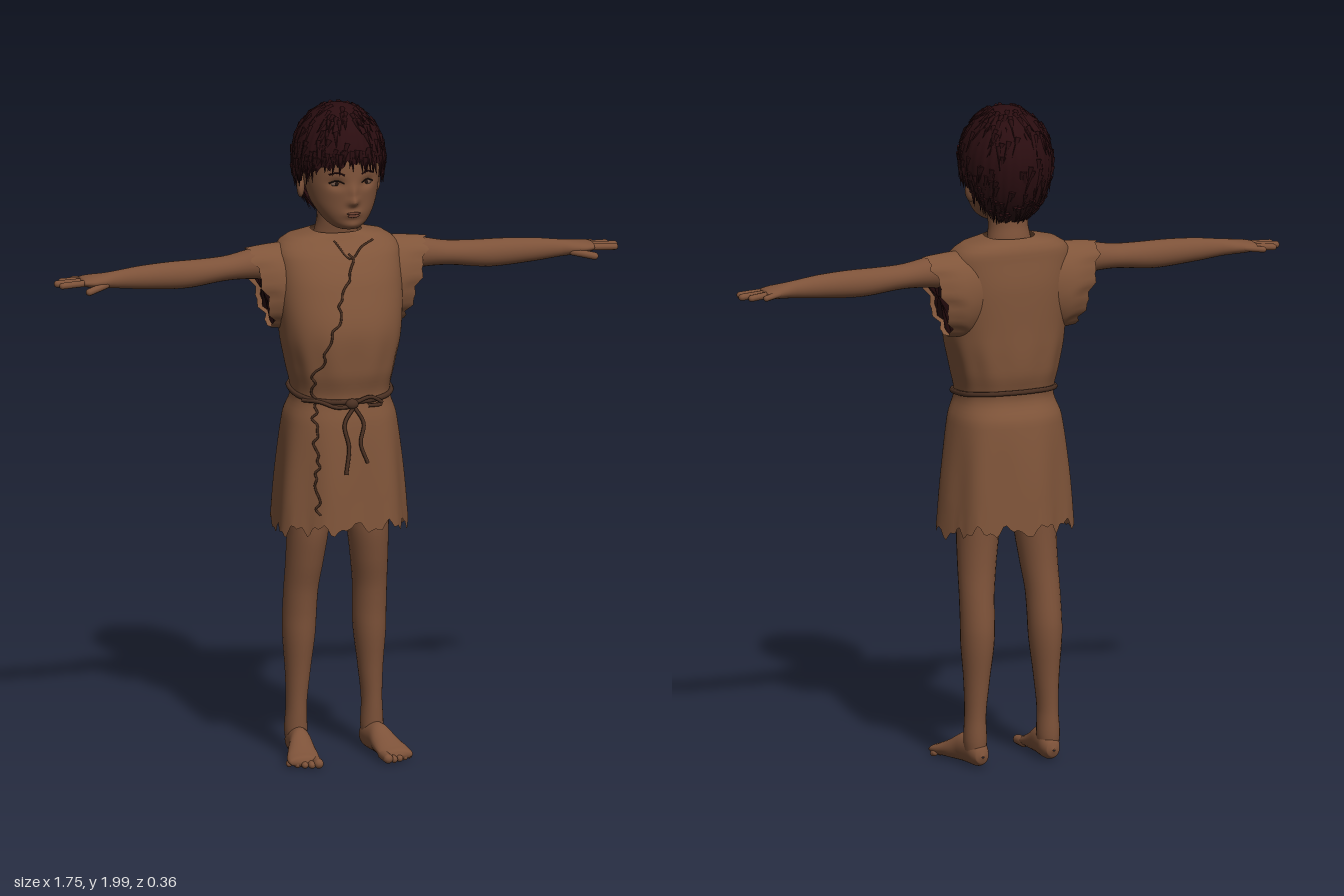
import * as THREE from 'three';
import { mergeGeometries } from 'three/addons/utils/BufferGeometryUtils.js';

const mat = (name, color, side = THREE.FrontSide) => {
  const m = new THREE.MeshStandardMaterial({ color, side });
  m.name = name;
  return m;
};
const skin = mat('skin', 0x7d5239);
const cloth = mat('cloth', 0x80553a, THREE.DoubleSide);
const lining = mat('lining', 0x2c0e11, THREE.DoubleSide);
const hairMat = mat('hair', 0x2a0d10, THREE.DoubleSide);
const rope = mat('rope', 0x4a3022);
const lipMat = mat('lips', 0x6c4030);
const eyeMat = mat('eye', 0x75594a);
const irisMat = mat('iris', 0x21130f);

const V = (x, y, z) => new THREE.Vector3(x, y, z);
const mesh = (name, geo, m) => {
  const o = new THREE.Mesh(geo, m);
  o.name = name;
  return o;
};
let seed = 7;
const rnd = () => (seed = (seed * 16807) % 2147483647) / 2147483647;

// Section = [t, u, v, ru, rv]; monotone cubic sampling along t
function sample(secs, t) {
  const n = secs.length;
  let k = 0;
  while (k < n - 2 && t > secs[k + 1][0]) k++;
  const h = secs[k + 1][0] - secs[k][0];
  const f = THREE.MathUtils.clamp((t - secs[k][0]) / h, 0, 1);
  return [1, 2, 3, 4].map((c) => {
    const slope = (i) => (secs[i + 1][c] - secs[i][c]) / (secs[i + 1][0] - secs[i][0]);
    const tangent = (i) => {
      if (i === 0) return slope(0);
      if (i === n - 1) return slope(n - 2);
      const a = slope(i - 1), b = slope(i);
      return a * b <= 0 ? 0 : (2 * a * b) / (a + b);
    };
    const f2 = f * f, f3 = f2 * f;
    return (2 * f3 - 3 * f2 + 1) * secs[k][c] + (f3 - 2 * f2 + f) * h * tangent(k)
      + (3 * f2 - 2 * f3) * secs[k + 1][c] + (f3 - f2) * h * tangent(k + 1);
  });
}

// Smooth skin over a grid of points; rings close on themselves
function grid(rows, seg, point) {
  const pos = [], idx = [];
  for (let i = 0; i <= rows; i++) {
    for (let j = 0; j < seg; j++) {
      pos.push(...point(i, (j / seg) * Math.PI * 2).toArray());
      if (i === rows) continue;
      const a = i * seg + j, b = i * seg + ((j + 1) % seg);
      idx.push(a, a + seg, b, b, a + seg, b + seg);
    }
  }
  const g = new THREE.BufferGeometry();
  g.setAttribute('position', new THREE.Float32BufferAttribute(pos, 3));
  g.setIndex(idx);
  g.computeVertexNormals();
  return g;
}

// Loft of ellipses along an axis, optionally reshaped by a rule
const place = {
  y: (t, u, v) => V(u, t, v),
  x: (t, u, v) => V(t, v, u),
  z: (t, u, v) => V(v, u, t),
};
function loft(axis, secs, { seg = 24, sub = 5, rule = (p) => p } = {}) {
  return grid((secs.length - 1) * sub, seg, (i, a) => {
    const k = Math.min(Math.floor(i / sub), secs.length - 2);
    const t = THREE.MathUtils.lerp(secs[k][0], secs[k + 1][0], i / sub - k);
    const [u, v, ru, rv] = sample(secs, t);
    return rule(place[axis](t, u + ru * Math.cos(a), v + rv * Math.sin(a)), a);
  });
}

// Primitive laid from point a to point b
function between(geo, a, b) {
  const d = b.clone().sub(a);
  const q = new THREE.Quaternion().setFromUnitVectors(V(0, 1, 0), d.normalize());
  const c = a.clone().add(b).multiplyScalar(0.5);
  return geo.applyMatrix4(new THREE.Matrix4().compose(c, q, V(1, 1, 1)));
}
const digit = (a, b, r) => between(new THREE.CapsuleGeometry(r, a.distanceTo(b), 5, 10), a, b);
const spike = (a, b, r) => between(new THREE.ConeGeometry(r, a.distanceTo(b), 5), a, b);
const cord = (pts, r, closed = false) =>
  new THREE.TubeGeometry(new THREE.CatmullRomCurve3(pts, closed), pts.length * 5, r, 6, closed);
const blob = (p, sx, sy, sz) =>
  new THREE.SphereGeometry(1, 16, 12).scale(sx, sy, sz).translate(p.x, p.y, p.z);

// Tunic surface
const tunicSecs = [
  [0.73, 0, -0.01, 0.2, 0.175], [0.9, 0, -0.01, 0.185, 0.165], [1.05, 0, -0.01, 0.167, 0.15],
  [1.12, 0, -0.003, 0.146, 0.13], [1.2, 0, -0.003, 0.16, 0.147], [1.3, 0, -0.002, 0.18, 0.152],
  [1.45, 0, -0.02, 0.19, 0.135], [1.54, 0, -0.037, 0.19, 0.108], [1.585, 0, -0.05, 0.16, 0.085],
  [1.605, 0, -0.045, 0.075, 0.068]];
const N = 2.4;
const sp = (c) => Math.sign(c) * Math.abs(c) ** (2 / N);
function tunicPoint(a, y, out = 0) {
  const [u, v, ru, rv] = sample(tunicSecs, y);
  const skirt = THREE.MathUtils.smoothstep(1.12 - y, 0, 0.3);
  const blouse = Math.exp(-(((y - 1.22) / 0.08) ** 2));
  const k = 1 + 0.03 * skirt * Math.sin(7 * a + 1) + 0.012 * blouse * Math.sin(11 * a);
  return V(u + (ru * k + out) * sp(Math.cos(a)), y, v + (rv * k + out) * sp(Math.sin(a)));
}
function tunicFront(x, y, out = 0.003) {
  const r = x / sample(tunicSecs, y)[2];
  return tunicPoint(Math.acos(Math.sign(r) * Math.min(1, Math.abs(r)) ** (N / 2)), y, out);
}

// Face relief: [x, y, depth, spread x, spread y]
const headSecs = [
  [1.628, 0, 0.07, 0.002, 0.002], [1.638, 0, 0.065, 0.04, 0.052], [1.67, 0, 0.047, 0.074, 0.085],
  [1.72, 0, 0.02, 0.1, 0.115], [1.78, 0, 0.005, 0.112, 0.132], [1.85, 0, -0.005, 0.117, 0.136],
  [1.9, 0, -0.012, 0.11, 0.122], [1.95, 0, -0.015, 0.08, 0.09], [1.978, 0, -0.015, 0.003, 0.003]];
const relief = [
  [0, 1.724, 0.02, 0.015, 0.013], [0, 1.75, 0.01, 0.011, 0.022], [0, 1.687, 0.008, 0.024, 0.011],
  [0, 1.65, 0.005, 0.025, 0.012], [0.047, 1.778, -0.012, 0.022, 0.014], [-0.047, 1.778, -0.012, 0.022, 0.014]];
const reliefAt = (x, y) => relief.reduce((s, [cx, cy, d, sx, sy]) =>
  s + d * Math.exp(-(((x - cx) / sx) ** 2) - ((y - cy) / sy) ** 2), 0);
function faceFront(x, y, out = 0) {
  const [, v, ru, rv] = sample(headSecs, y);
  return V(x, y, v + rv * Math.sqrt(1 - (x / ru) ** 2) + reliefAt(x, y) + out);
}

// Hair cap surface: v runs 0 at the hairline to 1 at the crown, a = PI/2 is the front
function hairPoint(a, v, grow = 1) {
  const back = Math.acos(THREE.MathUtils.clamp(Math.sin(a), -1, 1)) / Math.PI;
  const line = sample([[0, 1.845, 0, 0, 0], [0.3, 1.815, 0, 0, 0], [0.46, 1.765, 0, 0, 0],
    [0.6, 1.72, 0, 0, 0], [0.72, 1.665, 0, 0, 0], [1, 1.65, 0, 0, 0]], back)[0]
    + 0.008 * Math.sin(23 * a) + 0.005 * Math.sin(41 * a);
  const low = Math.asin((line - 1.83) / (line < 1.83 ? 0.2 : 0.162));
  const e = THREE.MathUtils.lerp(low, Math.PI / 2, v);
  const r = grow * (1 + 0.014 * (1 - v) * Math.sin(34 * a + 6 * v));
  return V(0.135 * r * Math.cos(e) * Math.cos(a), 1.83 + (e < 0 ? 0.2 : 0.162) * grow * Math.sin(e),
    -0.02 + 0.163 * r * Math.cos(e) * Math.sin(a));
}

function makeHead() {
  const g = new THREE.Group();
  g.name = 'head';
  g.add(mesh('face', loft('y', headSecs, {
    seg: 96, sub: 9, rule: (p) => (p.z > 0.03 ? p.setZ(p.z + reliefAt(p.x, p.y)) : p) }), skin));
  g.add(mesh('neck', loft('y', [[1.5, 0, -0.045, 0.09, 0.065], [1.59, 0, -0.045, 0.068, 0.06],
    [1.64, 0, -0.037, 0.06, 0.06], [1.72, 0, -0.03, 0.062, 0.066]]), skin));
  for (const s of [-1, 1]) {
    const ear = blob(V(0, 0, 0), 0.012, 0.034, 0.022).rotateY(s * 0.4).translate(s * 0.115, 1.745, -0.025);
    g.add(mesh('ear', ear, skin));
    g.add(mesh('eyeball', blob(faceFront(s * 0.047, 1.778, -0.002), 0.016, 0.008, 0.006), eyeMat));
    g.add(mesh('iris', blob(faceFront(s * 0.046, 1.778, 0.002), 0.006, 0.006, 0.003), irisMat));
    const arc = (y, lift, out) => [0.026, 0.046, 0.068].map((x, i) => faceFront(s * x, y + (i === 1 ? lift : 0), out));
    g.add(mesh('eyelid', cord(arc(1.78, 0.008, 0.003), 0.0022), irisMat));
    g.add(mesh('eyebrow', cord(arc(1.806, 0.007, 0), 0.0025), hairMat));
  }
  g.add(mesh('upperLip', blob(faceFront(0, 1.69, -0.001), 0.022, 0.004, 0.004), lipMat));
  g.add(mesh('lowerLip', blob(faceFront(0, 1.682, -0.001), 0.018, 0.005, 0.004), lipMat));

  // Hair cap with loose strands and a ragged edge
  g.add(mesh('hairCap', grid(24, 120, (i, a) => hairPoint(a, i / 24)), hairMat));
  const strands = [];
  for (let i = 0; i < 260; i++) {
    const a = rnd() * Math.PI * 2, v = i % 2 ? 0.1 + 0.1 * rnd() : 0.2 + 0.7 * rnd();
    strands.push(spike(hairPoint(a, v, 0.99), hairPoint(a + 0.25 * (rnd() - 0.2), v - 0.16 - 0.1 * rnd(), 1.02 + 0.03 * rnd()), 0.009));
  }
  g.add(mesh('hairStrands', mergeGeometries(strands), hairMat));
  return g;
}

function makeArm() {
  const g = new THREE.Group();
  g.add(mesh('arm', loft('x', [
    [0.14, -0.05, 1.505, 0.06, 0.06], [0.25, -0.045, 1.513, 0.047, 0.047], [0.35, -0.038, 1.506, 0.04, 0.037],
    [0.48, -0.032, 1.498, 0.038, 0.042], [0.6, -0.03, 1.499, 0.033, 0.036], [0.69, -0.03, 1.498, 0.026, 0.026],
    [0.73, -0.032, 1.497, 0.036, 0.022], [0.765, -0.037, 1.497, 0.045, 0.018],
    [0.79, -0.04, 1.497, 0.041, 0.013], [0.8, -0.04, 1.497, 0.003, 0.003]]), skin));
  const fingers = [[0.755, -0.07, 0.805, -0.09, 0.009], [0.77, -0.056, 0.845, -0.071, 0.01],
    [0.77, -0.037, 0.865, -0.045, 0.0105], [0.77, -0.015, 0.858, -0.014, 0.01]];
  for (const [x0, z0, x1, z1, r] of fingers) g.add(mesh('finger', digit(V(x0, 1.497, z0), V(x1, 1.493, z1), r), skin));
  g.add(mesh('thumb', digit(V(0.725, 1.488, -0.008), V(0.785, 1.477, 0.02), 0.011), skin));

  // Wide torn armhole, slanting inward at the bottom
  const slant = (p, a) => {
    const f = THREE.MathUtils.smoothstep(p.x, 0.12, 0.235);
    return p.setX(p.x + f * (0.3 * (p.y - 1.44) + 0.006 * Math.sin(9 * a) + 0.004 * Math.sin(17 * a)));
  };
  g.add(mesh('sleeve', loft('x', [[0.1, -0.05, 1.45, 0.08, 0.125], [0.17, -0.05, 1.44, 0.088, 0.13],
    [0.24, -0.048, 1.437, 0.07, 0.124]], { seg: 60, rule: slant }), cloth));
  g.add(mesh('armholeLining', loft('x', [[0.224, -0.048, 1.437, 0.071, 0.122], [0.2245, -0.048, 1.437, 0.001, 0.001]],
    { seg: 40, sub: 1, rule: slant }), lining));
  return g;
}

function makeLeg() {
  const g = new THREE.Group();
  g.add(mesh('leg', loft('y', [
    [0.03, 0.118, -0.065, 0.029, 0.038], [0.08, 0.118, -0.065, 0.034, 0.042], [0.15, 0.117, -0.063, 0.031, 0.041],
    [0.25, 0.113, -0.063, 0.037, 0.047], [0.4, 0.109, -0.062, 0.05, 0.062], [0.5, 0.107, -0.052, 0.051, 0.062],
    [0.6, 0.1, -0.035, 0.056, 0.068], [0.7, 0.093, -0.025, 0.062, 0.075], [0.95, 0.085, -0.02, 0.07, 0.08]]), skin));
  g.add(mesh('foot', loft('z', [
    [-0.117, 0.035, 0.115, 0.003, 0.003], [-0.108, 0.036, 0.115, 0.025, 0.022], [-0.07, 0.045, 0.116, 0.044, 0.033],
    [-0.01, 0.046, 0.122, 0.045, 0.034], [0.04, 0.033, 0.132, 0.032, 0.043], [0.09, 0.022, 0.142, 0.02, 0.05],
    [0.115, 0.018, 0.145, 0.015, 0.046], [0.124, 0.016, 0.145, 0.002, 0.003]],
    { rule: (p) => p.setY(Math.max(p.y, 0.002)) }), skin));
  for (let i = 0; i < 5; i++) {
    const x = 0.106 + i * 0.0195, r = i === 0 ? 0.015 : 0.0115 - i * 0.0005;
    g.add(mesh('toe', digit(V(x, r + 0.002, 0.085), V(x + 0.002, r, 0.136 - i * i * 0.0028), r), skin));
  }
  return g;
}

function makeTunic() {
  const g = new THREE.Group();
  g.name = 'clothing';
  const rows = 60;
  g.add(mesh('tunic', grid(rows, 120, (i, a) => {
    const p = tunicPoint(a, THREE.MathUtils.lerp(0.73, 1.605, i / rows));
    const hem = Math.max(0, 1 - i / 5);
    return p.setY(p.y + hem * (0.013 * Math.sin(13 * a) + 0.009 * Math.sin(29 * a + 1) - 0.022 * Math.abs(Math.cos(a)) ** 6));
  }), cloth));

  // Ragged overlap edge down the front and torn neckline
  const seam = [];
  for (let y = 1.55; y > 0.76; y -= 0.018) {
    const x = y > 1.22 ? THREE.MathUtils.lerp(-0.1, 0.015, (y - 1.22) / 0.33) : -0.11;
    seam.push(tunicFront(x + 0.018 * (rnd() - 0.5), y));
  }
  g.add(mesh('frontSeam', cord(seam, 0.0035), rope));
  g.add(mesh('neckline', cord([[-0.03, 1.585], [0.01, 1.535], [0.05, 1.565], [0.09, 1.58]]
    .map(([x, y]) => tunicFront(x, y)), 0.003), rope));

  // Rope belt, knot and hanging ends
  const ring = [];
  for (let j = 0; j < 48; j++) {
    const a = (j / 48) * Math.PI * 2;
    ring.push(tunicPoint(a, 1.128 - 0.015 * Math.sin(a), 0.004));
  }
  g.add(mesh('belt', cord(ring, 0.008, true), rope));
  g.add(mesh('knot', blob(tunicFront(-0.005, 1.108, 0.012), 0.02, 0.016, 0.014), rope));
  const ends = [
    [[0, 1.1], [-0.03, 1.05], [-0.02, 0.98], [-0.03, 0.9]], [[0, 1.1], [0.025, 1.05], [0.015, 0.99], [0.035, 0.93]],
    [[0, 1.11], [0.05, 1.125], [0.085, 1.1], [0.04, 1.1]], [[0, 1.1], [-0.05, 1.1], [-0.09, 1.115], [-0.13, 1.115]]];
  for (const e of ends) g.add(mesh('beltEnd', cord(e.map(([x, y]) => tunicFront(x, y, 0.013)), 0.006), rope));
  return g;
}

export function createModel() {
  const model = new THREE.Group();
  model.name = 'child';
  model.add(makeHead(), makeTunic());
  for (const [side, s] of [['left', 1], ['right', -1]]) {
    for (const [part, make] of [['Arm', makeArm], ['Leg', makeLeg]]) {
      const g = make();
      g.name = side + part;
      g.scale.x = s;
      model.add(g);
    }
  }
  return model;
}
